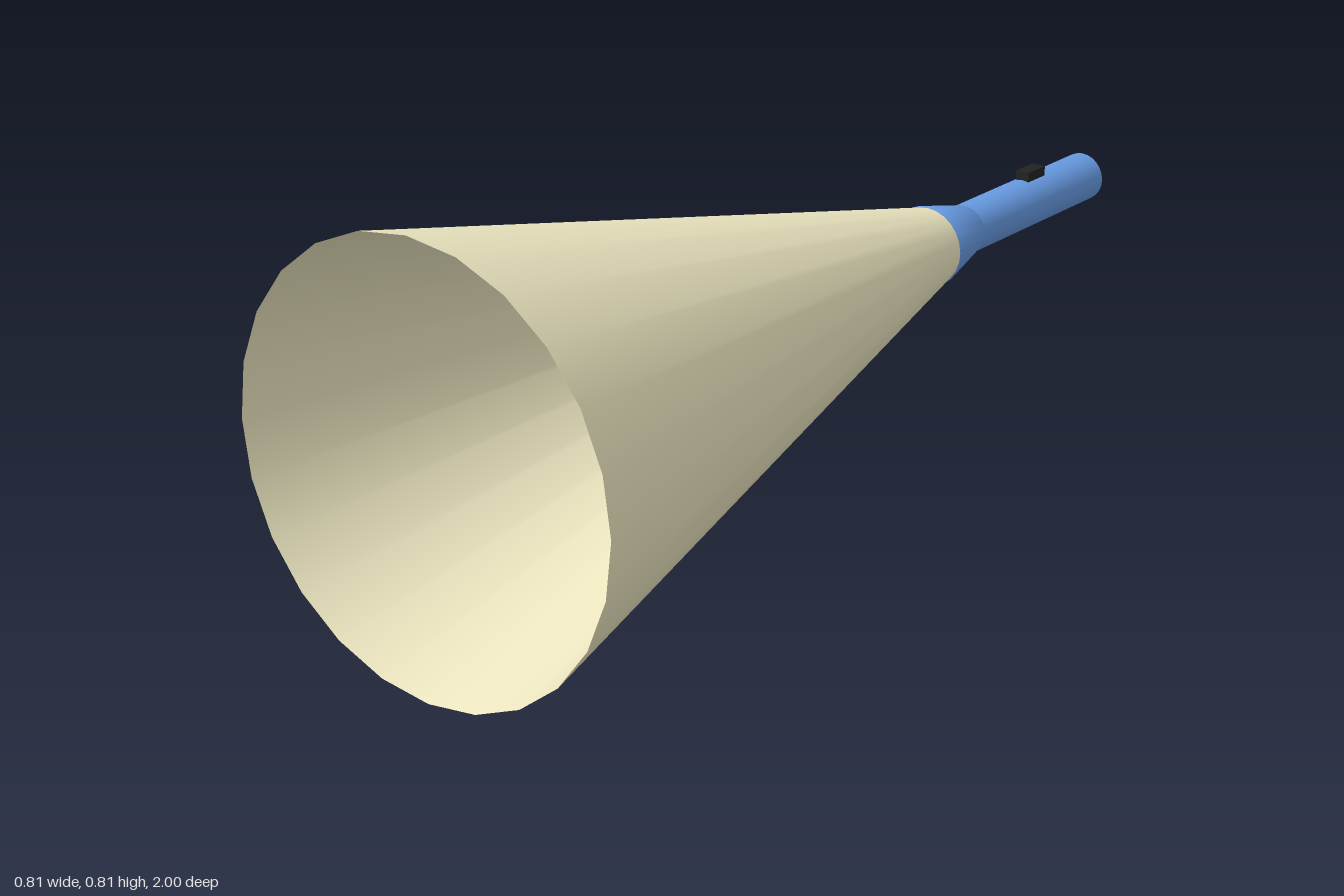
import * as THREE from 'three';
import { mergeVertices } from 'three/addons/utils/BufferGeometryUtils.js';

const CY = 0.406; // height of the long axis
const SIDES = 24;

// Shares vertices between wall and caps so the shading runs softly over the rims
function soften(geometry) {
  geometry.deleteAttribute('normal');
  geometry.deleteAttribute('uv');
  const merged = mergeVertices(geometry, 1e-4);
  merged.computeVertexNormals();
  return merged;
}

// Tapered tube along z, from the back end to the front end
function tube(backZ, frontZ, backR, frontR, open = false) {
  const g = new THREE.CylinderGeometry(frontR, backR, frontZ - backZ, SIDES, 1, open);
  g.rotateX(Math.PI / 2);
  g.translate(0, 0, (backZ + frontZ) / 2);
  return soften(g);
}

export function createModel() {
  const group = new THREE.Group();
  const blue = new THREE.MeshStandardMaterial({ color: 0x6699e0 });
  const black = new THREE.MeshStandardMaterial({ color: 0x222222 });
  const white = new THREE.MeshStandardMaterial({ color: 0xf8f4e8 });
  const cream = new THREE.MeshStandardMaterial({ color: 0xece6c0, side: THREE.DoubleSide });

  function add(name, geometry, material) {
    const mesh = new THREE.Mesh(geometry, material);
    mesh.name = name;
    mesh.position.y = CY;
    group.add(mesh);
    return mesh;
  }

  // Handle and flared head
  add('handle', tube(-1, -0.55, 0.05, 0.05), blue);
  add('head', tube(-0.555, -0.427, 0.05, 0.081), blue);

  // Shallow domed lens set into the head
  const lens = new THREE.SphereGeometry(0.073, SIDES, 8, 0, Math.PI * 2, 0, Math.PI / 2);
  lens.rotateX(Math.PI / 2);
  lens.scale(1, 1, 0.45);
  lens.translate(0, 0, -0.427);
  add('lens', lens, white);

  // Slide switch on top of the handle
  const slider = new THREE.BoxGeometry(0.03, 0.025, 0.062);
  slider.translate(0, 0.055, -0.797);
  add('switch', slider, black);

  // Open cone of light
  add('lightBeam', tube(-0.432, 1, 0.077, 0.406, true), cream);

  return group;
}
